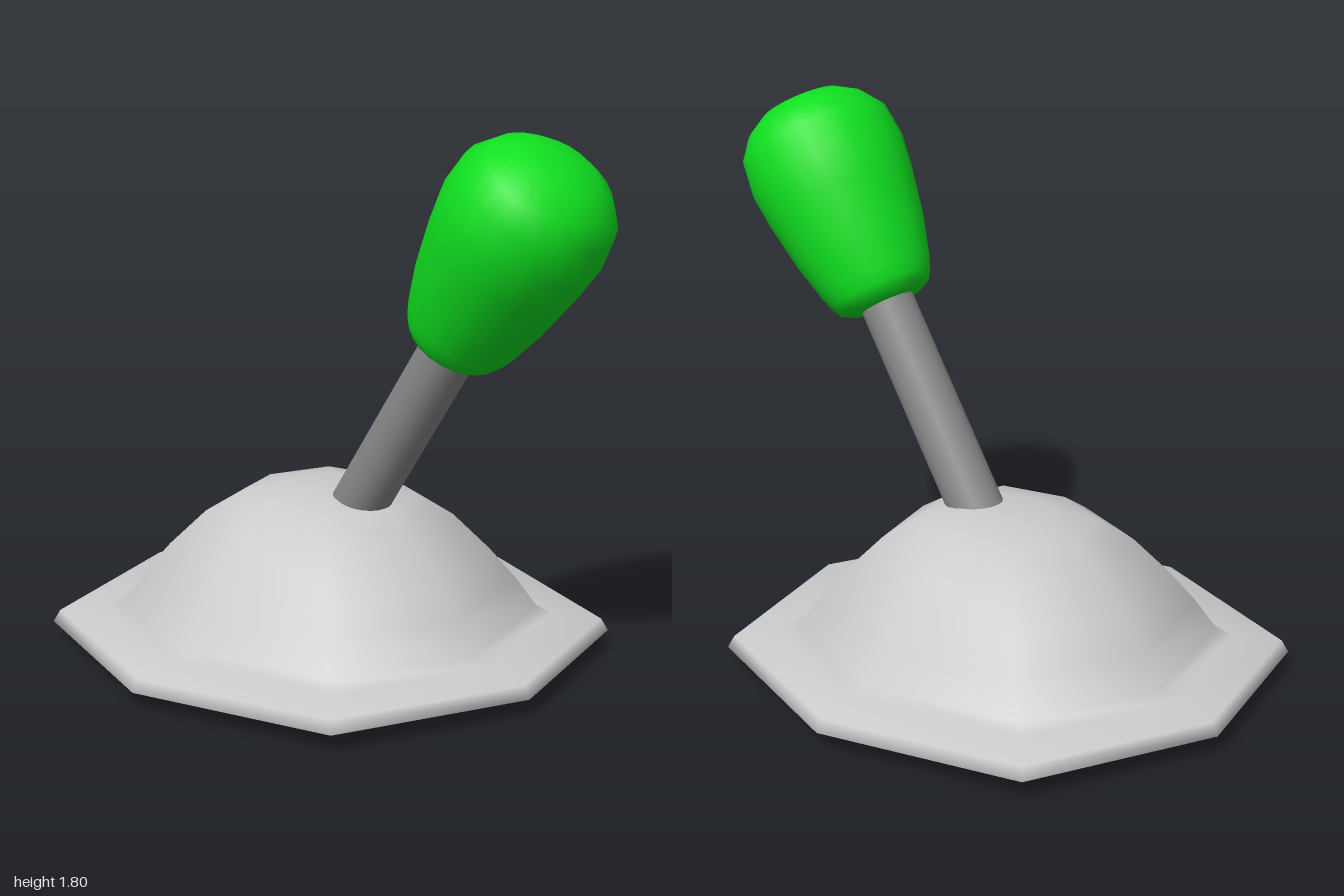
import * as THREE from 'three';
import { mergeVertices } from 'three/addons/utils/BufferGeometryUtils.js';

const material = (color) => new THREE.MeshStandardMaterial({ color });
const points = (list) => list.map(([r, y]) => new THREE.Vector2(r, y));

// Joins the seam of a geometry and gives it smooth normals
function smooth(geometry) {
  geometry.deleteAttribute('uv');
  geometry.deleteAttribute('normal');
  const merged = mergeVertices(geometry, 1e-4);
  merged.computeVertexNormals();
  return merged;
}

export function createModel() {
  const model = new THREE.Group();
  model.name = 'joystick';

  // Eight-sided base: shallow underside, thin rim and dome, as one smooth shell
  const baseGeometry = new THREE.LatheGeometry(points([
    [0, 0], [0.75, 0.015], [0.96, 0.045], [1, 0.06], [0.975, 0.1], [0.8, 0.115],
    [0.745, 0.14], [0.665, 0.24], [0.57, 0.34], [0.44, 0.455], [0.32, 0.52],
    [0.18, 0.545], [0, 0.555],
  ]), 8);
  // The diagonal corners reach out a little further than a regular octagon
  const position = baseGeometry.attributes.position;
  for (let i = 0; i < position.count; i++) {
    const x = position.getX(i), z = position.getZ(i);
    const k = Math.abs(x) > 1e-4 && Math.abs(z) > 1e-4 ? 1.06 : 1;
    position.setX(i, x * k * 0.89);
    position.setZ(i, z * k * 0.84);
  }
  const base = new THREE.Mesh(smooth(baseGeometry), material(0xcccccc));
  base.name = 'base';
  base.position.x = -0.11;
  model.add(base);

  // Leaning lever; its origin is at the bottom of the knob
  const lever = new THREE.Group();
  lever.name = 'lever';
  lever.position.set(0.46, 1.155, 0);
  lever.rotation.z = -0.593;
  model.add(lever);

  const shaft = new THREE.Mesh(new THREE.CylinderGeometry(0.09, 0.09, 0.92, 24), material(0x888888));
  shaft.name = 'shaft';
  shaft.position.y = -0.36;
  lever.add(shaft);

  // Pear-shaped knob with a rounded top
  const knobGeometry = new THREE.LatheGeometry(points([
    [0, -0.04], [0.12, -0.033], [0.155, -0.015], [0.172, 0.015], [0.188, 0.06],
    [0.222, 0.19], [0.25, 0.35], [0.263, 0.46], [0.25, 0.575], [0.2, 0.645],
    [0.135, 0.688], [0.06, 0.705], [0, 0.708],
  ]), 24);
  knobGeometry.scale(1, 1, 1.03);
  const knob = new THREE.Mesh(smooth(knobGeometry), material(0x10e020));
  knob.name = 'knob';
  lever.add(knob);

  return model;
}
